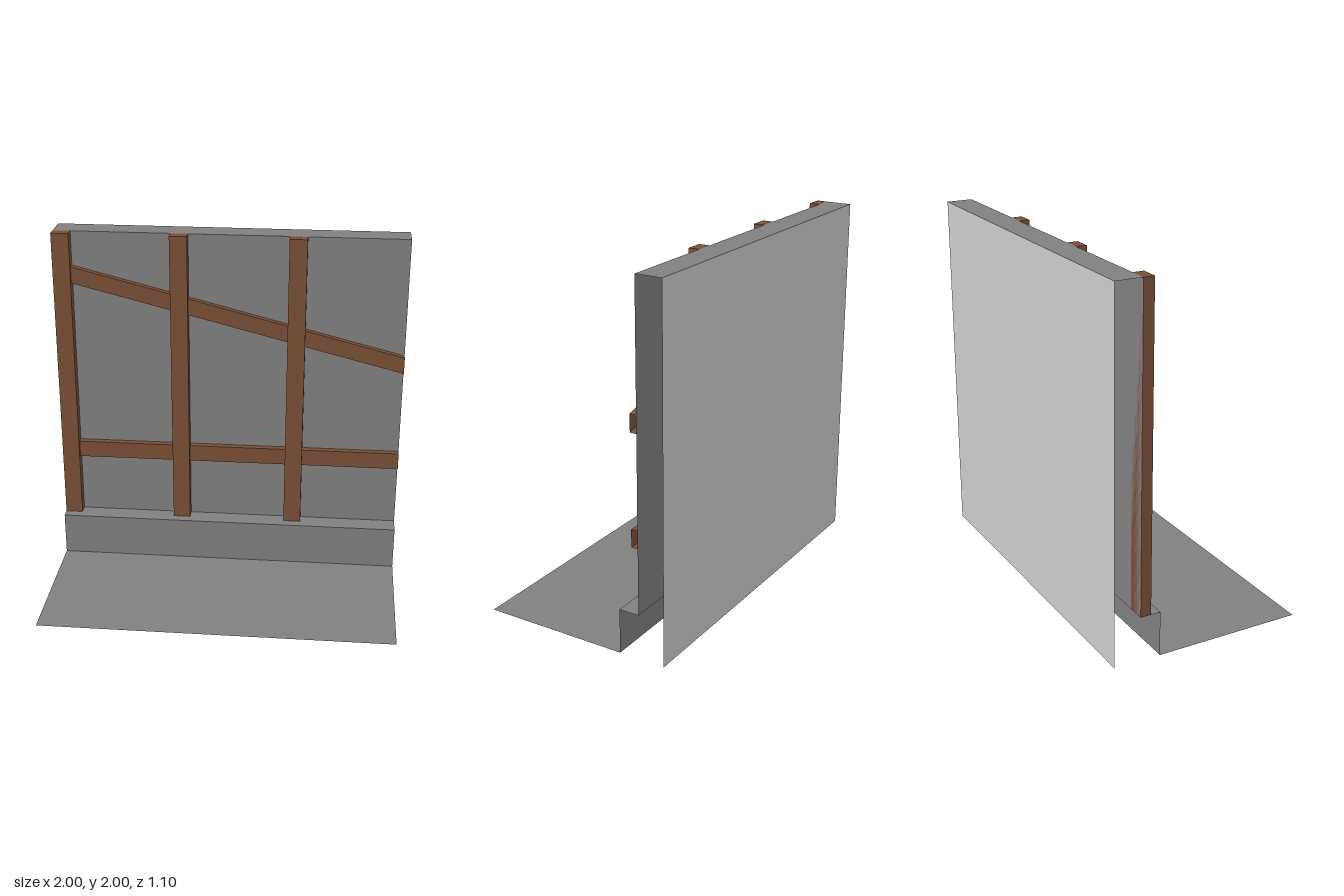
import * as THREE from 'three';

const grey = new THREE.MeshStandardMaterial({ color: 0x808080, side: THREE.DoubleSide });
grey.name = 'plaster grey';
const paleGrey = new THREE.MeshStandardMaterial({ color: 0xcccccc, side: THREE.DoubleSide });
paleGrey.name = 'pale grey';
const wood = new THREE.MeshStandardMaterial({ color: 0x7a4f36, side: THREE.DoubleSide });
wood.name = 'timber brown';

// Open sheet: a [z, y] profile swept from x0 to x1, falling by drop on the way.
function sheet(name, profile, material, x0 = -1, x1 = 1, drop = 0) {
  const positions = [];
  for (let i = 0; i < profile.length - 1; i++) {
    const [za, ya] = profile[i];
    const [zb, yb] = profile[i + 1];
    const a = [x0, ya, za], b = [x1, ya - drop, za];
    const c = [x1, yb - drop, zb], d = [x0, yb, zb];
    positions.push(...a, ...b, ...c, ...a, ...c, ...d);
  }
  const geometry = new THREE.BufferGeometry();
  geometry.setAttribute('position', new THREE.Float32BufferAttribute(positions, 3));
  geometry.computeVertexNormals();
  const mesh = new THREE.Mesh(geometry, material);
  mesh.name = name;
  return mesh;
}

export function createModel() {
  const model = new THREE.Group();
  model.name = 'timberedWall';
  const wallZ = -0.4, backZ = -0.548, plinthZ = -0.285, plinthTop = 0.25;

  // Floor, plinth, recessed wall and wall top as one folded sheet
  model.add(sheet('floorAndWall', [
    [0.548, 0], [plinthZ, 0], [plinthZ, plinthTop],
    [wallZ, plinthTop], [wallZ, 2], [backZ, 2],
  ], grey));

  // Back face of the wall
  model.add(sheet('backPanel', [[backZ, 2], [backZ, 0]], paleGrey));

  // Upright posts standing on the plinth
  const postWidth = 0.1, postDepth = 0.06;
  const postStarts = [-1, -0.335, 0.333];
  postStarts.forEach((x) => {
    const post = new THREE.Mesh(
      new THREE.BoxGeometry(postWidth, 2 - plinthTop, postDepth), wood);
    post.position.set(x + postWidth / 2, (2 + plinthTop) / 2, wallZ + postDepth / 2);
    post.name = 'post';
    model.add(post);
  });

  // Level rail and sloping brace, in pieces between the posts, with open ends
  const beamZ = wallZ + 0.037;
  const addBeam = (name, bottom, height, slope) => {
    postStarts.forEach((start, i) => {
      const x0 = start + postWidth;
      const x1 = postStarts[i + 1] ?? 1;
      const y = bottom - slope * (x0 + 0.9);
      model.add(sheet(name, [
        [wallZ, y], [beamZ, y], [beamZ, y + height], [wallZ, y + height],
      ], wood, x0, x1, slope * (x1 - x0)));
    });
  };
  addBeam('rail', 0.618, 0.098, 0);
  addBeam('brace', 1.705, 0.096, 0.254);

  return model;
}
